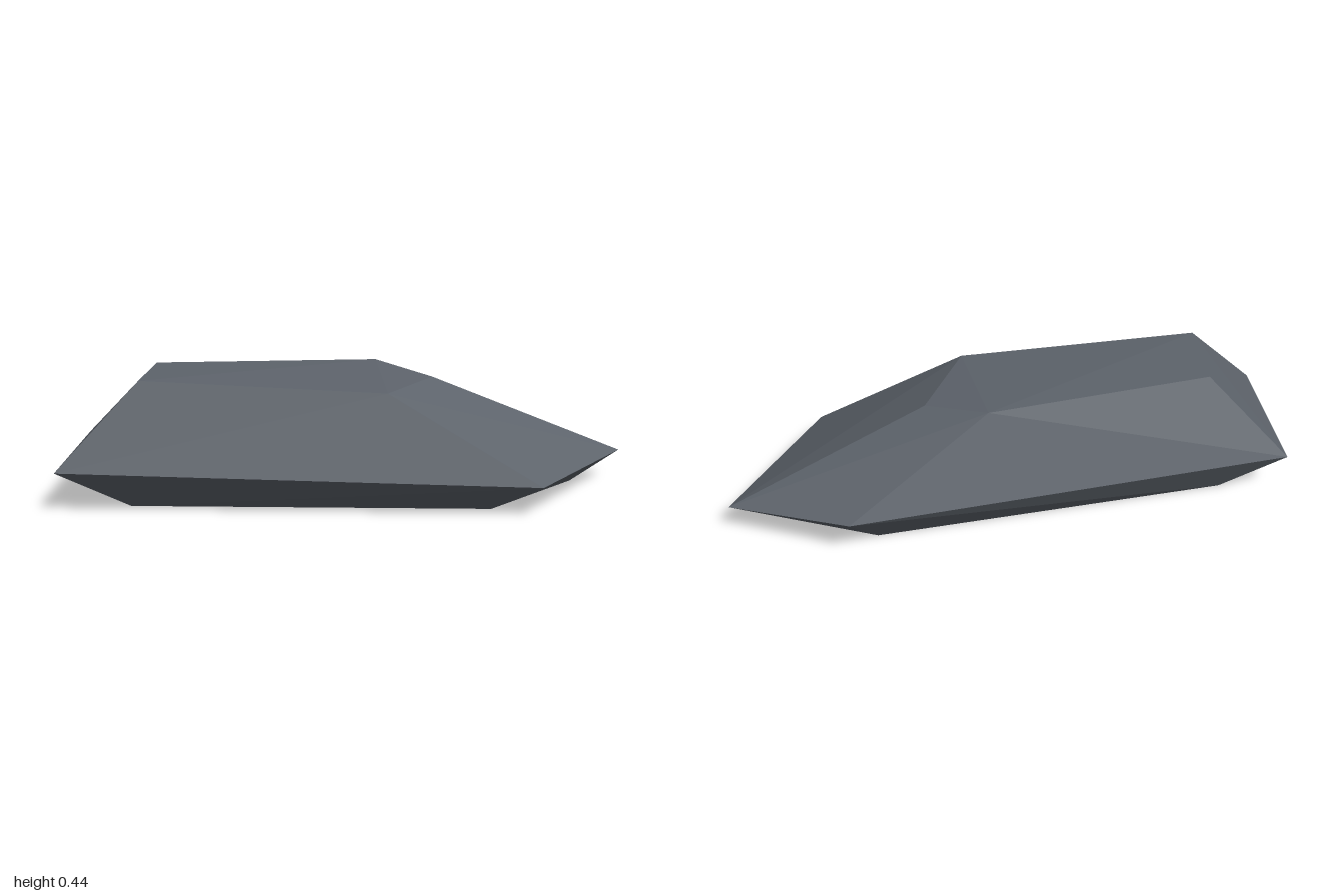
import * as THREE from 'three';
import { ConvexGeometry } from 'three/addons/geometries/ConvexGeometry.js';

// Faceted boulder: the convex skin over three irregular five-sided rings
export function createModel() {
  const group = new THREE.Group();
  group.name = 'rock';

  const slate = new THREE.MeshStandardMaterial({ color: 0x5d636b });
  slate.name = 'slate grey';
  slate.flatShading = true;

  // Foot on the ground
  const foot = [
    [-0.76, 0, 0.19], [0.49, 0, 0.235], [0.815, 0, -0.085], [0.5, 0, -0.245], [-0.75, 0, -0.18],
  ];
  // Widest belt
  const belt = [
    [-1, 0.15, 0.29], [0.65, 0.113, 0.352], [1, 0.105, -0.13], [0.6, 0.14, -0.352], [-0.97, 0.15, -0.25],
  ];
  // Sloping crown
  const crown = [
    [-0.72, 0.443, 0.172], [0.13, 0.408, 0.22], [0.3, 0.4, -0.065], [0.1, 0.435, -0.198], [-0.695, 0.441, -0.123],
  ];

  const points = [...foot, ...belt, ...crown].map((p) => new THREE.Vector3(...p));
  const boulder = new THREE.Mesh(new ConvexGeometry(points), slate);
  boulder.name = 'boulder';
  group.add(boulder);
  return group;
}
